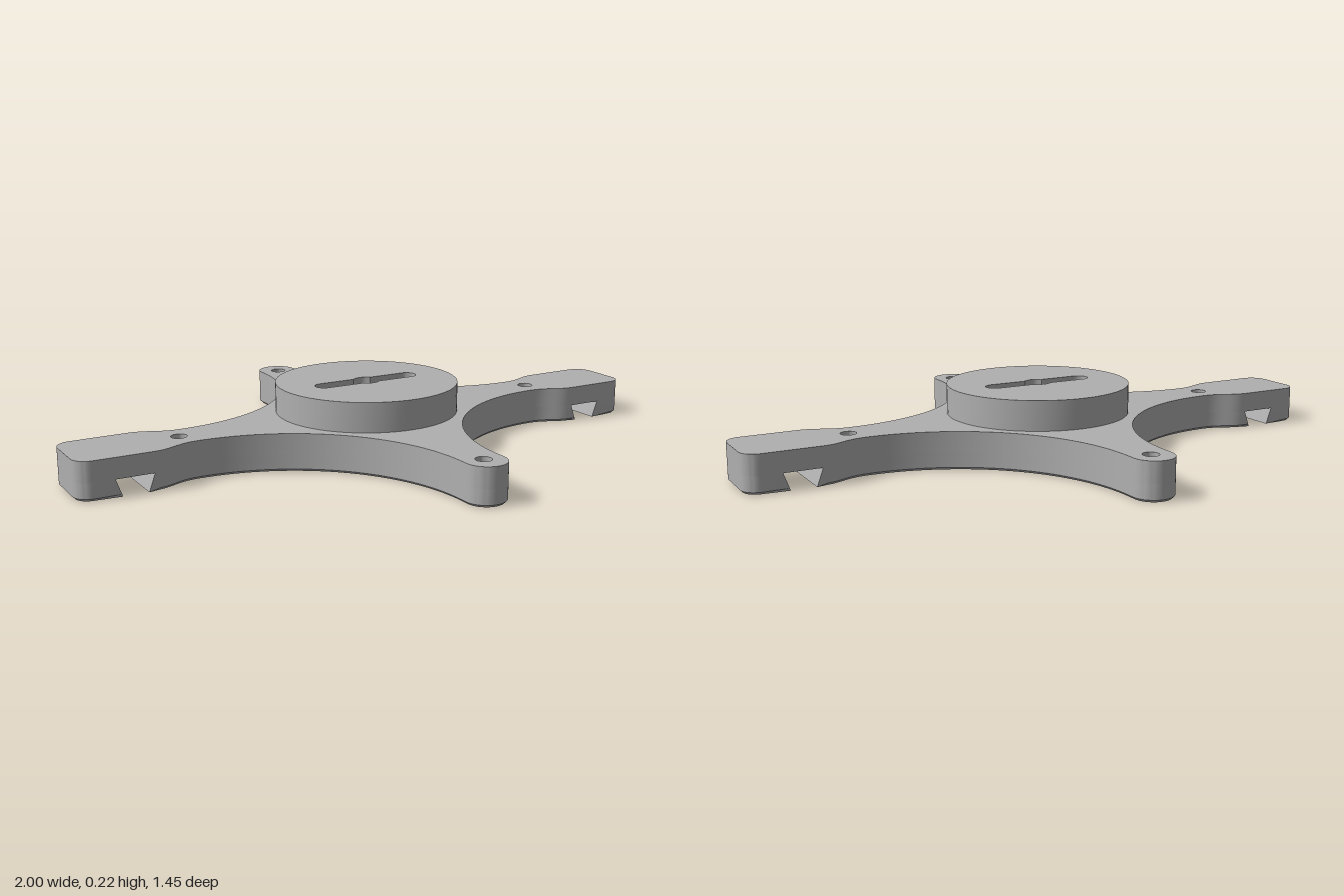
import * as THREE from 'three';
import { toCreasedNormals } from 'three/addons/utils/BufferGeometryUtils.js';

const GROOVE_Y = 0.055, TOP = 0.12, HUB_TOP = 0.215, SLOT_Y = 0.195, CHAMFER = 0.008;
const GROOVE_IN = 0.77, GROOVE_OUT = 0.888, TAPER = 0.02, PAD = 0.113;

// Points on an arc, angles in degrees
function arc(cx, cy, r, from, to, n) {
  return Array.from({ length: n + 1 }, (_, i) => {
    const a = THREE.MathUtils.degToRad(from + ((to - from) * i) / n);
    return new THREE.Vector2(cx + r * Math.cos(a), cy + r * Math.sin(a));
  });
}
const circle = (x, y, r, n = 32) => arc(x, y, r, 0, 360, n).slice(0, n);
const mirror = (pts, sx, sy) => pts.map((p) => new THREE.Vector2(p.x * sx, p.y * sy));

// Wall through rings of { y, pts }; counter-clockwise rings face outward
function wall(rings) {
  const pos = [];
  for (let k = 0; k < rings.length - 1; k++) {
    const lo = rings[k], hi = rings[k + 1], n = lo.pts.length;
    for (let i = 0; i < n; i++) {
      const j = (i + 1) % n;
      const a = [lo.pts[i].x, lo.y, -lo.pts[i].y], b = [lo.pts[j].x, lo.y, -lo.pts[j].y];
      const c = [hi.pts[j].x, hi.y, -hi.pts[j].y], d = [hi.pts[i].x, hi.y, -hi.pts[i].y];
      pos.push(...a, ...b, ...c, ...a, ...c, ...d);
    }
  }
  const g = new THREE.BufferGeometry();
  g.setAttribute('position', new THREE.Float32BufferAttribute(pos, 3));
  return toCreasedNormals(g, 0.5);
}
const straight = (pts, y0, y1) => wall([{ y: y0, pts }, { y: y1, pts }]);
const innerWall = (pts, y0, y1) => straight([...pts].reverse(), y0, y1);

// Flat face at height y, facing up or down
function cap(pts, y, holes = [], down = false) {
  const shape = new THREE.Shape(pts);
  shape.holes = holes.map((h) => new THREE.Path(h));
  const g = new THREE.ShapeGeometry(shape);
  // the plan is symmetric, so a half turn the other way serves the underside
  g.rotateX(down ? Math.PI / 2 : -Math.PI / 2);
  return g.translate(0, y, 0);
}

// Inset ring for the chamfer, with the groove ends slanted as a dovetail
function lowerRing(pts, y, inset) {
  const n = pts.length;
  const ring = pts.map((p, i) => {
    const prev = pts[(i + n - 1) % n], next = pts[(i + 1) % n];
    const t = next.clone().sub(prev).normalize();
    const q = new THREE.Vector2(p.x - t.y * inset, p.y + t.x * inset);
    const ax = Math.abs(p.x), s = Math.sign(p.x), lean = TAPER * (1 - y / GROOVE_Y);
    if (Math.abs(ax - GROOVE_IN) < 1e-4) q.x = s * (GROOVE_IN + lean);
    if (Math.abs(ax - GROOVE_OUT) < 1e-4) q.x = s * (GROOVE_OUT - lean);
    return q;
  });
  return { y, pts: ring };
}

export function createModel() {
  const group = new THREE.Group();
  const grey = new THREE.MeshStandardMaterial({ color: 0xb0b0b0 });
  grey.name = 'plain grey';
  const add = (name, ...geometries) => {
    const part = new THREE.Group();
    part.name = name;
    geometries.forEach((g, i) => {
      const m = new THREE.Mesh(g, grey);
      m.name = `${name}Face${i + 1}`;
      part.add(m);
    });
    group.add(part);
  };

  // One quarter of the cross: flare, concave sweep, rounded tip
  const flare = new THREE.CubicBezierCurve(
    new THREE.Vector2(GROOVE_IN, PAD), new THREE.Vector2(0.71, PAD),
    new THREE.Vector2(0.69, 0.073), new THREE.Vector2(0.62, 0.073));
  const quarter = [
    ...flare.getPoints(12),
    ...arc(0.62, 0.628, 0.555, 270, 180, 36).slice(1),
    ...arc(0, 0.66, 0.065, 0, 90, 12),
  ];
  const back = [...quarter].reverse().slice(1);
  const half = [...quarter, ...mirror(back, -1, 1)];
  const otherHalf = mirror(half, -1, -1);
  const centre = [...half, ...otherHalf];

  // End pad beyond the groove
  const padRight = [
    new THREE.Vector2(GROOVE_OUT, -PAD),
    ...arc(0.95, -PAD + 0.05, 0.05, -90, 0, 10),
    ...arc(0.95, PAD - 0.05, 0.05, 0, 90, 10),
    new THREE.Vector2(GROOVE_OUT, PAD),
  ];
  const padLeft = mirror(padRight, -1, -1);
  const outline = [...half, ...padLeft, ...otherHalf, ...padRight];

  const bore = circle(0, 0, 0.037);
  const pins = [[0.65, 0], [-0.65, 0], [0, 0.65], [0, -0.65]].map(([x, y]) => circle(x, y, 0.025));

  // Upper plate with blind pin holes
  add('upperPlate', straight(outline, GROOVE_Y, TOP), cap(outline, TOP, [bore, ...pins]));
  pins.forEach((p) => add('pinHole', innerWall(p, 0.06, TOP), cap(p, 0.06)));

  // Lower plate, split by the two grooves
  const lower = (name, pts, holes) => {
    const rings = [lowerRing(pts, 0, CHAMFER), lowerRing(pts, CHAMFER, 0), lowerRing(pts, GROOVE_Y, 0)];
    add(name, wall(rings), cap(rings[0].pts, 0, holes, true));
  };
  lower('lowerPlate', centre, [bore]);
  lower('leftPad', padRight, []);
  lower('rightPad', padLeft, []);

  // Groove ceilings
  for (const s of [1, -1]) {
    const g = new THREE.PlaneGeometry(GROOVE_OUT - GROOVE_IN, PAD * 2).rotateX(Math.PI / 2);
    add('grooveCeiling', g.translate((s * (GROOVE_IN + GROOVE_OUT)) / 2, GROOVE_Y, 0));
  }

  // Hub with a shallow key slot widened round the bore
  const bulge = THREE.MathUtils.radToDeg(Math.asin(0.03 / 0.043));
  const slot = [
    ...arc(0.155, 0, 0.03, -90, 90, 12),
    ...arc(0, 0, 0.043, bulge, 180 - bulge, 12),
    ...arc(-0.155, 0, 0.03, 90, 270, 12),
    ...arc(0, 0, 0.043, 180 + bulge, 360 - bulge, 12),
  ];
  const rim = circle(0, 0, 0.295, 72);
  add('hub', straight(rim, TOP, HUB_TOP), cap(rim, HUB_TOP, [slot]));
  add('keySlot', innerWall(slot, SLOT_Y, HUB_TOP), cap(slot, SLOT_Y, [bore]));
  add('centreBore', innerWall(bore, 0, SLOT_Y));
  return group;
}
